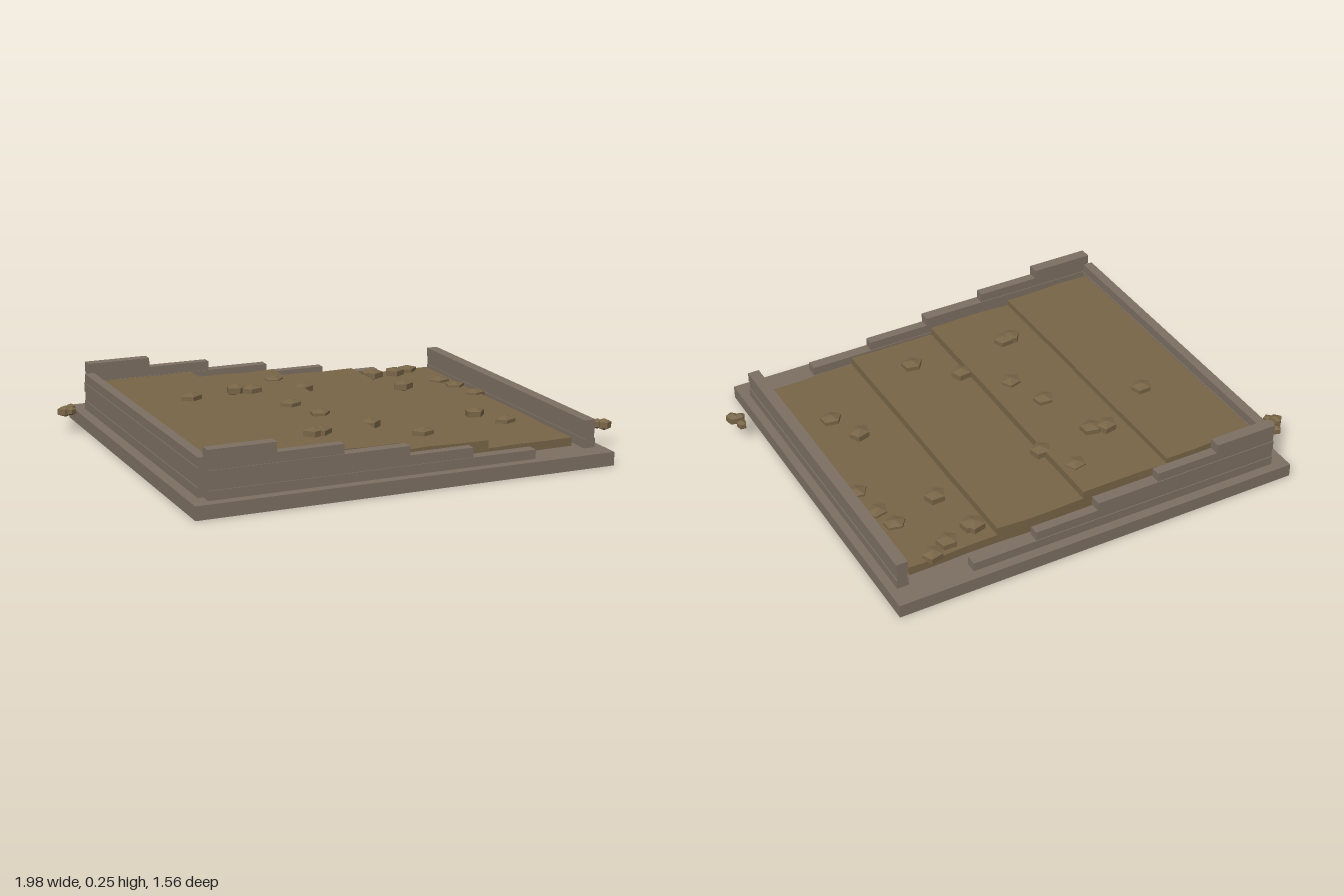
import * as THREE from 'three';

const stone = new THREE.MeshStandardMaterial({ color: 0x7d6f62, flatShading: true });
stone.name = 'stone';
const soil = new THREE.MeshStandardMaterial({ color: 0x786547, flatShading: true });
soil.name = 'soil';

// Box between two corners
function block(name, material, x0, x1, y0, y1, z0, z1, segments = [1, 1, 1]) {
  const geometry = new THREE.BoxGeometry(x1 - x0, y1 - y0, z1 - z0, ...segments);
  geometry.translate((x0 + x1) / 2, (y0 + y1) / 2, (z0 + z1) / 2);
  const mesh = new THREE.Mesh(geometry, material);
  mesh.name = name;
  return mesh;
}

// Five-sided stone with shallow pointed top and bottom
const rockGeometry = new THREE.SphereGeometry(1, 5, 3);
function rock(name, x, y, z, radius, height, turn) {
  const mesh = new THREE.Mesh(rockGeometry, soil);
  mesh.name = name;
  mesh.position.set(x, y, z);
  mesh.scale.set(radius, height, radius * 0.85);
  mesh.rotation.y = turn;
  return mesh;
}

export function createModel() {
  const model = new THREE.Group();
  model.name = 'steppedField';
  model.add(block('base', stone, -0.877, 0.859, 0, 0.055, -0.78, 0.78));

  // Masonry courses: even ones stand slightly proud of odd ones
  const levels = [0.055, 0.092, 0.13, 0.168, 0.206, 0.246];
  const half = (i) => (i % 2 ? 0.02 : 0.024);

  // Stepped side walls
  for (const side of [-1, 1]) {
    const wall = new THREE.Group();
    wall.name = side > 0 ? 'frontWall' : 'backWall';
    for (let i = 0; i < 5; i++) {
      const z = side * 0.716;
      wall.add(block('course', stone, -0.813, 0.53 - 0.2685 * i,
        levels[i], levels[i + 1], z - half(i), z + half(i)));
    }
    model.add(wall);
  }

  // End walls: the high one and the low one
  for (const [name, x, count] of [['highEndWall', -0.81, 4], ['lowEndWall', 0.8, 3]]) {
    const wall = new THREE.Group();
    wall.name = name;
    for (let i = 0; i < count; i++) {
      wall.add(block('course', stone, x - half(i), x + half(i),
        levels[i], levels[i + 1], -0.69, 0.69));
    }
    model.add(wall);
  }

  // Earth terraces with slightly uneven outer edges
  const edges = [-0.773, -0.375, 0, 0.375, 0.75];
  const tops = [0.18, 0.155, 0.123, 0.09];
  tops.forEach((top, i) => {
    const slab = block('terrace', soil, edges[i], edges[i + 1], 0.05, top, -0.64, 0.64, [3, 1, 6]);
    const p = slab.geometry.attributes.position;
    for (let k = 0; k < p.count; k++) {
      const x = p.getX(k), z = p.getZ(k);
      if (p.getY(k) > 0.06) p.setY(k, top + 0.002 * Math.sin(x * 17 + z * 9));
      p.setZ(k, z + 0.004 * Math.sin(x * 11 + z * 5));
    }
    slab.geometry.computeVertexNormals();
    model.add(slab);
  });

  // Scattered stones, following the fall of the terraces
  const spots = [
    [-0.535, -0.2], [-0.29, -0.33], [-0.23, -0.31], [-0.065, -0.47], [0.005, -0.32],
    [-0.165, -0.045], [-0.11, 0.13], [-0.255, 0.405], [-0.225, 0.4], [0.03, 0.3],
    [0.18, 0.465], [0.43, -0.56], [0.44, -0.55], [0.56, -0.585], [0.64, -0.62],
    [0.685, -0.39], [0.71, -0.29], [0.48, -0.33], [0.73, -0.145], [0.56, 0.18], [0.62, 0.325],
  ];
  spots.forEach(([x, z], i) => {
    model.add(rock('fieldStone', x, 0.144 - 0.08 * x, z, 0.054, 0.024, 0.3 + 0.25 * Math.sin(i * 2.4)));
  });

  // Small loose clusters beyond the base
  const loose = [
    [-0.96, 0.092, -0.55, 0.038, 0.024], [-0.932, 0.1, -0.565, 0.026, 0.018],
    [-0.933, 0.085, -0.595, 0.027, 0.02], [-0.938, 0.095, -0.53, 0.024, 0.018],
    [0.965, 0.092, 0.527, 0.035, 0.025], [0.94, 0.095, 0.515, 0.026, 0.022],
    [0.945, 0.084, 0.483, 0.027, 0.02],
  ];
  loose.forEach(([x, y, z, r, h], i) => model.add(rock('looseStone', x, y, z, r, h, i * 1.3)));
  return model;
}
